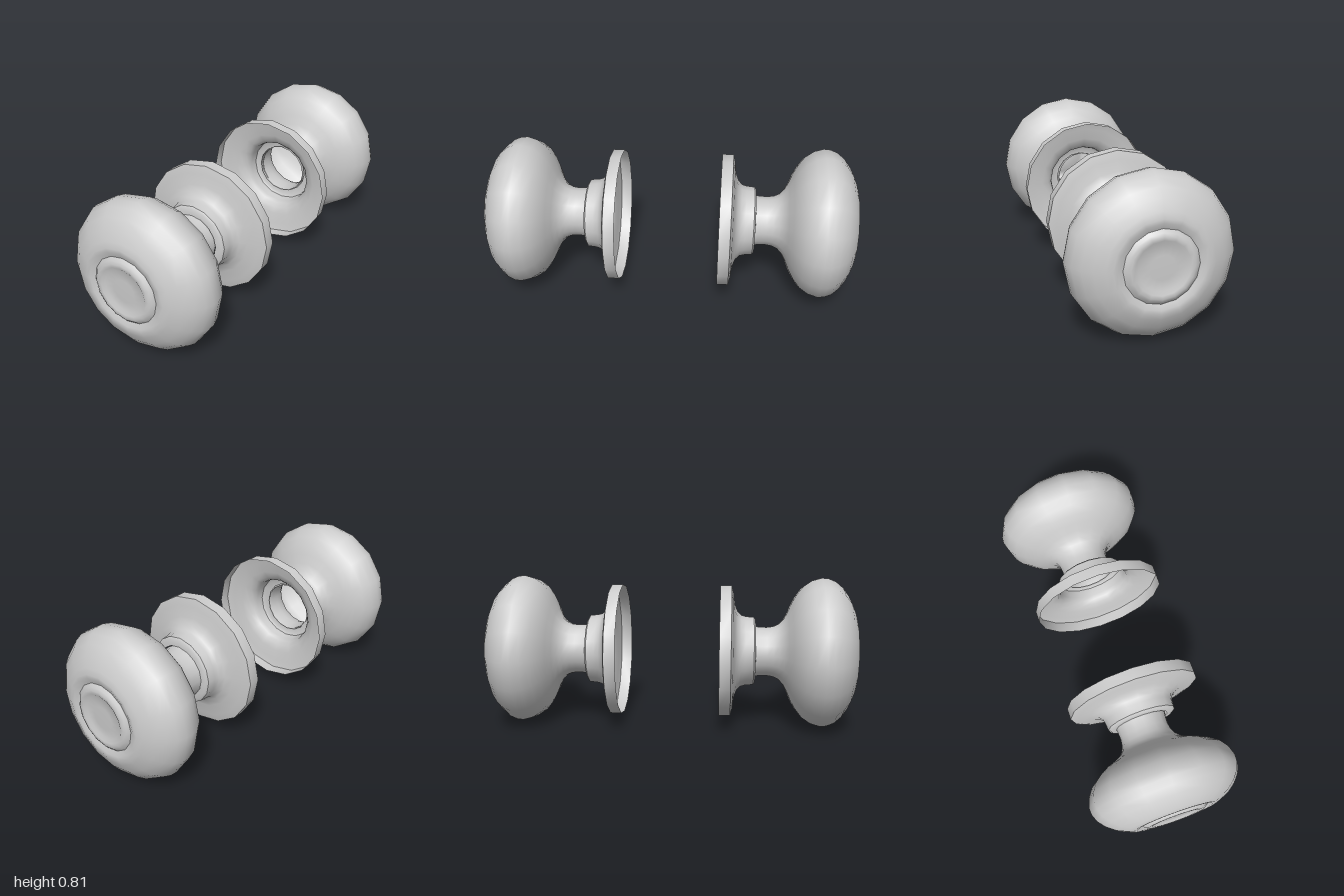
import * as THREE from 'three';
import { toCreasedNormals } from 'three/addons/utils/BufferGeometryUtils.js';

const SIDES = 16;
const AXIS_HEIGHT = 0.4025;
const TILT = 0.056;

// Profiles are [distance along the axis, radius].
// Hollow wall plate: rim, dished face, collar and bore lip.
const ROSE = [
  [0.265, 0.357], [0.325, 0.357], [0.336, 0.315], [0.344, 0.255], [0.358, 0.218],
  [0.378, 0.197], [0.402, 0.19], [0.446, 0.186], [0.455, 0.174], [0.457, 0.14],
];

// Handle: open neck, flared shoulder, rounded body and a beaded end face.
const KNOB = [
  [0.445, 0.14], [0.47, 0.135], [0.515, 0.133], [0.55, 0.138], [0.58, 0.152],
  [0.605, 0.178], [0.625, 0.215], [0.645, 0.265], [0.67, 0.311], [0.705, 0.357],
  [0.75, 0.388], [0.8, 0.4025], [0.835, 0.4], [0.875, 0.384], [0.915, 0.35],
  [0.948, 0.305], [0.97, 0.255], [0.981, 0.225], [0.98, 0.205], [0.969, 0.178],
  [0.982, 0.163], [0.989, 0.148], [0.988, 0.13], [0.978, 0.112], [0.979, 0.06], [0.98, 0],
];

const material = new THREE.MeshStandardMaterial({ color: 0xcccccc, side: THREE.DoubleSide });

// Turns a profile around the x axis, with its origin at the given pivot distance.
function turned(name, profile, pivot, crease) {
  const points = profile.map(([d, r]) => new THREE.Vector2(r, d - pivot));
  const geometry = new THREE.LatheGeometry(points, SIDES).rotateZ(-Math.PI / 2);
  const mesh = new THREE.Mesh(toCreasedNormals(geometry, crease), material);
  mesh.name = name;
  return mesh;
}

export function createModel() {
  const model = new THREE.Group();
  model.name = 'doorKnobPair';

  // The two handles face away from each other, each slightly out of line.
  const handles = [
    { name: 'left', side: 1, roseZ: -0.007, knobZ: -0.0425 },
    { name: 'right', side: -1, roseZ: 0.022, knobZ: 0.0425 },
  ];
  for (const { name, side, roseZ, knobZ } of handles) {
    const handle = new THREE.Group();
    handle.name = name + 'Handle';
    const rose = turned(name + 'Rose', ROSE, 0.295, 0.8);
    rose.position.set(side * 0.295, AXIS_HEIGHT, roseZ);
    const knob = turned(name + 'Knob', KNOB, 0.8, 1.0);
    knob.position.set(side * 0.8, AXIS_HEIGHT, knobZ);
    for (const part of [rose, knob]) {
      part.rotation.y = TILT + (side < 0 ? Math.PI : 0);
      handle.add(part);
    }
    model.add(handle);
  }
  return model;
}
